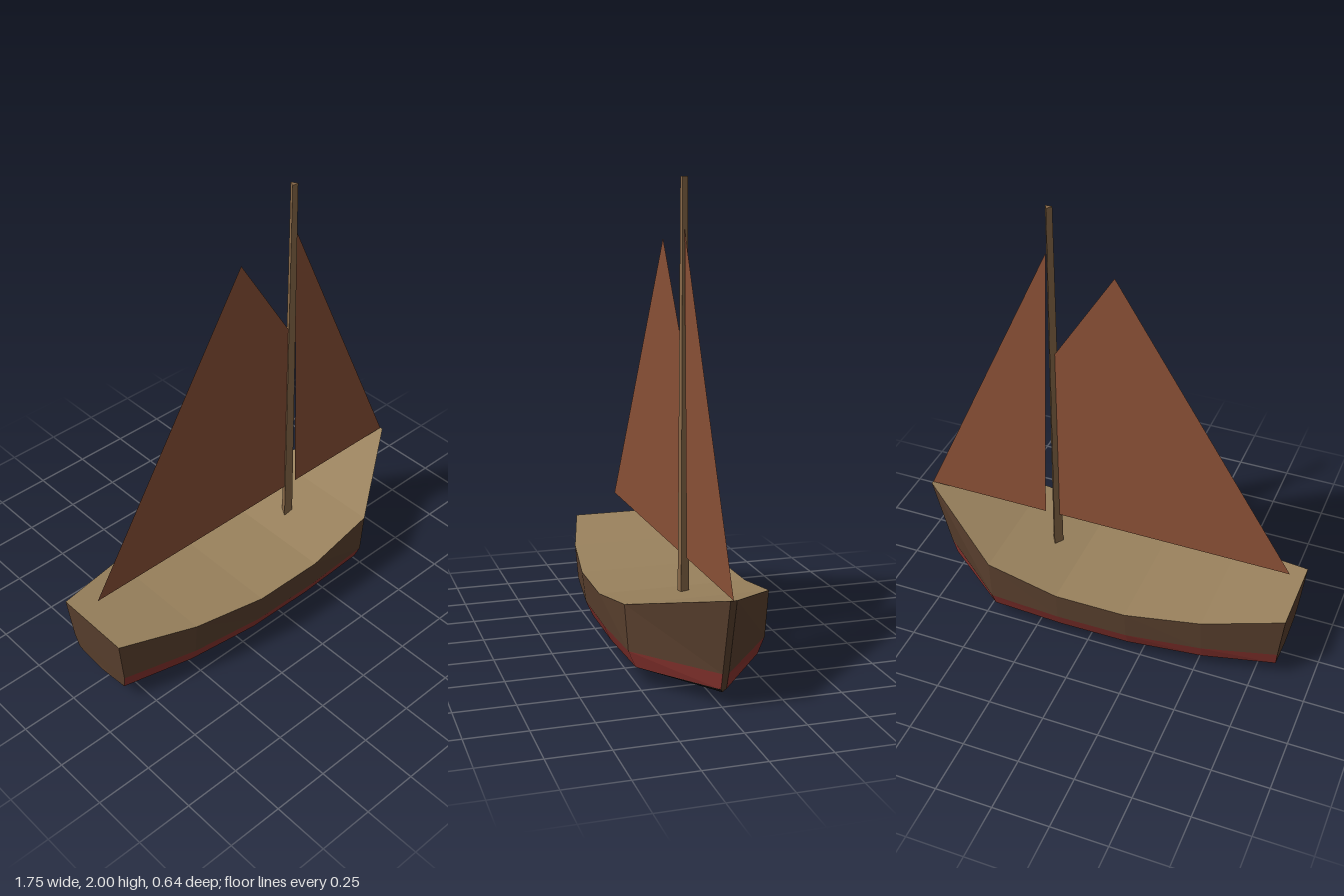
import * as THREE from 'three';

// Hull stations, stern to bow: x at each level (sheer, stripe top, chine, keel), half beam, sheer height, keel height
const STATIONS = [
  { x: [-0.873, -0.85, -0.842, -0.842], half: 0.18, sheer: 0.357, keel: 0.062 },
  { x: [-0.53, -0.53, -0.53, -0.53], half: 0.27, sheer: 0.308, keel: 0.016 },
  { x: [-0.2, -0.2, -0.2, -0.2], half: 0.318, sheer: 0.284, keel: 0.002 },
  { x: [0.12, 0.12, 0.12, 0.12], half: 0.322, sheer: 0.287, keel: 0 },
  { x: [0.45, 0.45, 0.45, 0.45], half: 0.304, sheer: 0.346, keel: 0.016 },
  { x: [0.873, 0.79, 0.768, 0.752], half: 0.013, sheer: 0.467, keel: 0.062 },
];
const LEVEL_WIDTH = [1, 0.95, 0.85, 0];

// Point on the hull at a station, level and side (+1 or -1 in z)
function hullPoint(i, level, side) {
  const s = STATIONS[i];
  const y = [s.sheer, 0.15, 0.08, s.keel][level];
  return [s.x[level], y, side * s.half * LEVEL_WIDTH[level]];
}

function material(color, side = THREE.FrontSide) {
  return new THREE.MeshStandardMaterial({ color, flatShading: true, side });
}

// Flat-shaded mesh from a list of quads
function quadMesh(name, quads, color) {
  const positions = quads.flatMap(([a, b, c, d]) => [a, b, c, a, c, d]).flat();
  const geometry = new THREE.BufferGeometry();
  geometry.setAttribute('position', new THREE.Float32BufferAttribute(positions, 3));
  geometry.computeVertexNormals();
  const mesh = new THREE.Mesh(geometry, material(color));
  mesh.name = name;
  return mesh;
}

// Both sides of the hull between one level and the next
function strake(level) {
  const quads = [];
  for (let i = 0; i < STATIONS.length - 1; i++) {
    for (const side of [1, -1]) {
      const quad = [
        hullPoint(i, level, side), hullPoint(i, level + 1, side),
        hullPoint(i + 1, level + 1, side), hullPoint(i + 1, level, side),
      ];
      quads.push(side > 0 ? quad : quad.reverse());
    }
  }
  return quads;
}

// Closing face of the hull at one end
function endCap(i, reversed) {
  return [0, 1, 2].map((level) => {
    const quad = [
      hullPoint(i, level, -1), hullPoint(i, level + 1, -1),
      hullPoint(i, level + 1, 1), hullPoint(i, level, 1),
    ];
    return reversed ? quad.reverse() : quad;
  });
}

// Thin sail in the centre plane
function sail(name, corners) {
  const shape = new THREE.Shape(corners.map(([x, y]) => new THREE.Vector2(x, y)));
  const mesh = new THREE.Mesh(new THREE.ShapeGeometry(shape), material(0x8a5036, THREE.DoubleSide));
  mesh.name = name;
  return mesh;
}

export function createModel() {
  const model = new THREE.Group();
  model.name = 'sailingBoat';
  const last = STATIONS.length - 1;

  // Hull in three painted bands, with transom and stem
  const hull = new THREE.Group();
  hull.name = 'hull';
  hull.add(
    quadMesh('topsides', strake(0), 0x5a402e),
    quadMesh('stripe', strake(1), 0x8a342f),
    quadMesh('bottom', strake(2), 0x171514),
    quadMesh('transom', endCap(0, false), 0x5a402e),
    quadMesh('stem', endCap(last, true), 0x5a402e),
  );
  model.add(hull);

  // Deck following the sheer line
  const planks = STATIONS.slice(0, last).map((_, i) => [
    hullPoint(i, 0, 1), hullPoint(i + 1, 0, 1), hullPoint(i + 1, 0, -1), hullPoint(i, 0, -1),
  ]);
  model.add(quadMesh('deck', planks, 0x9a825d));

  // Tapered three-sided mast
  const mast = new THREE.Mesh(new THREE.CylinderGeometry(0.0175, 0.028, 1.72, 3), material(0x8a6a49));
  mast.name = 'mast';
  mast.rotation.y = Math.PI;
  mast.position.set(0.251, 1.14, 0);
  model.add(mast);

  // Sails
  model.add(
    sail('mainSail', [[-0.832, 0.466], [0.245, 0.466], [0.245, 1.315], [-0.026, 1.742]]),
    sail('jib', [[0.304, 0.466], [0.872, 0.466], [0.266, 1.795]]),
  );
  return model;
}
